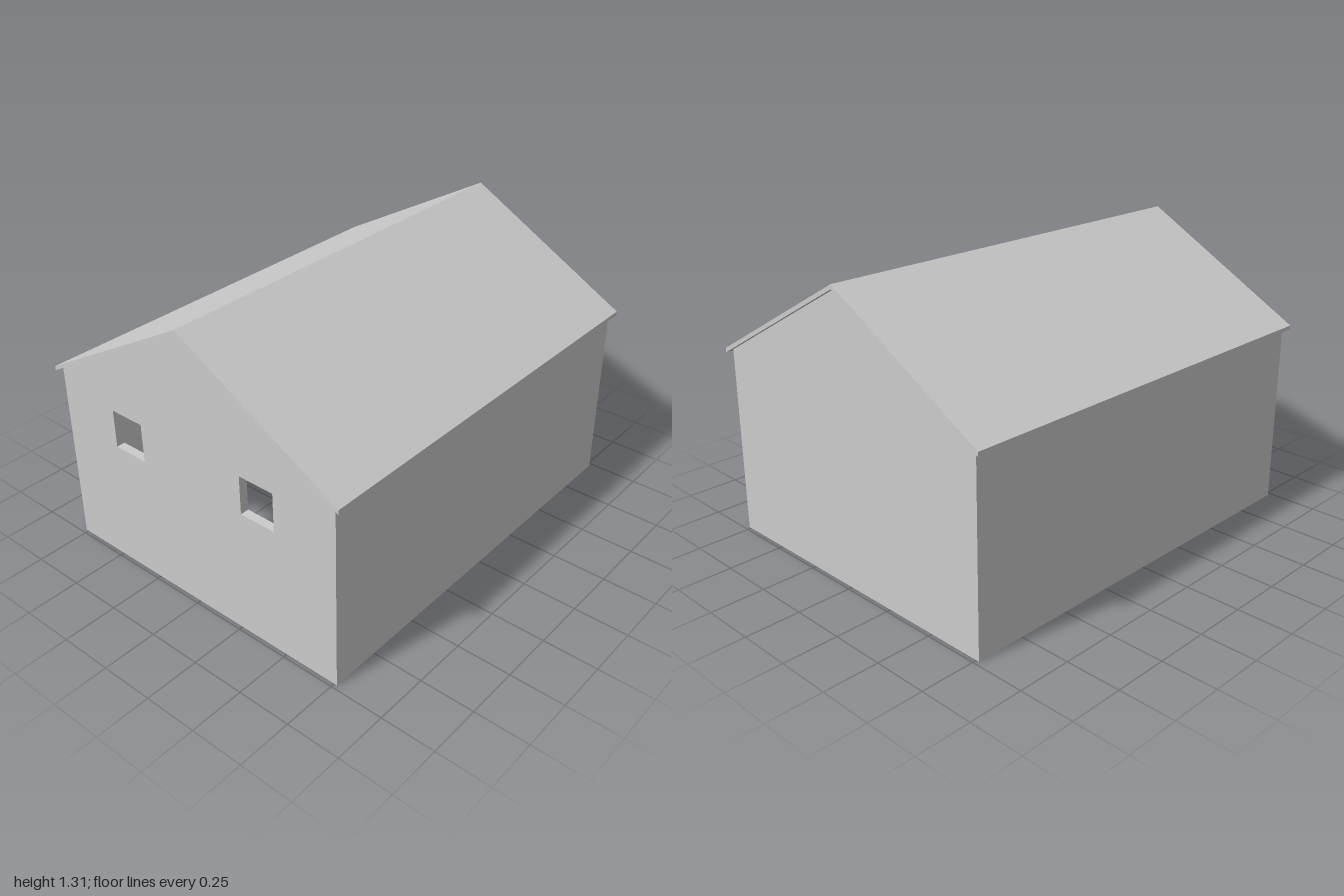
import * as THREE from 'three';

const WALL_X = 0.764, WALL_Z = 0.981;      // half width and half depth of the walls
const ROOF_X = 0.793, ROOF_Z = 1;          // half width and half depth of the roof
const RIDGE = 1.314, EAVE = 0.872, THICK = 0.02;
const WINDOW = { x: 0.367, y: 0.685, w: 0.174, h: 0.179, depth: 0.04 };

const SLOPE = (RIDGE - EAVE) / ROOF_X;
const PEAK = RIDGE - THICK;                // underside of the ridge
const WALL_TOP = PEAK - SLOPE * WALL_X;

const solid = new THREE.MeshStandardMaterial({ color: 0xcccccc });
const sheet = new THREE.MeshStandardMaterial({ color: 0xcccccc, side: THREE.DoubleSide });

const points = (list) => list.map(([x, y]) => new THREE.Vector2(x, y));

function add(parent, name, geometry, material, x = 0, y = 0, z = 0) {
  const mesh = new THREE.Mesh(geometry, material);
  mesh.name = name;
  mesh.position.set(x, y, z);
  parent.add(mesh);
  return mesh;
}

function gableShape() {
  return new THREE.Shape(points([
    [-WALL_X, 0], [WALL_X, 0], [WALL_X, WALL_TOP], [0, PEAK], [-WALL_X, WALL_TOP],
  ]));
}

export function createModel() {
  const house = new THREE.Group();
  house.name = 'house';

  // Gable walls, the front one with two window openings
  const { x: wx, y: wy, w, h, depth } = WINDOW;
  const front = gableShape();
  for (const side of [-1, 1]) {
    const cx = side * wx;
    front.holes.push(new THREE.Path(points([
      [cx - w / 2, wy - h / 2], [cx - w / 2, wy + h / 2],
      [cx + w / 2, wy + h / 2], [cx + w / 2, wy - h / 2],
    ])));
  }
  add(house, 'frontWall', new THREE.ShapeGeometry(front), sheet, 0, 0, WALL_Z);
  add(house, 'backWall', new THREE.ShapeGeometry(gableShape()), sheet, 0, 0, -WALL_Z)
    .rotation.y = Math.PI;

  for (const side of [-1, 1]) {
    const label = side > 0 ? 'left' : 'right';

    // Long side wall
    add(house, label + 'Wall', new THREE.PlaneGeometry(2 * WALL_Z, WALL_TOP), sheet,
      side * WALL_X, WALL_TOP / 2, 0).rotation.y = side * Math.PI / 2;

    // Thin window reveal reaching into the house
    const reveal = new THREE.Group();
    reveal.name = label + 'WindowReveal';
    reveal.position.set(side * wx, wy, WALL_Z - depth / 2);
    for (const s of [-1, 1]) {
      add(reveal, s > 0 ? 'leftJamb' : 'rightJamb', new THREE.PlaneGeometry(depth, h), sheet,
        s * w / 2, 0, 0).rotation.y = -s * Math.PI / 2;
      add(reveal, s > 0 ? 'lintel' : 'sill', new THREE.PlaneGeometry(w, depth), sheet,
        0, s * h / 2, 0).rotation.x = s * Math.PI / 2;
    }
    house.add(reveal);
  }

  // Gabled roof slab with vertically cut eaves
  const roof = new THREE.Shape(points([
    [-ROOF_X, EAVE - THICK], [0, PEAK], [ROOF_X, EAVE - THICK],
    [ROOF_X, EAVE], [0, RIDGE], [-ROOF_X, EAVE],
  ]));
  add(house, 'roof',
    new THREE.ExtrudeGeometry(roof, { depth: 2 * ROOF_Z, bevelEnabled: false }),
    solid, 0, 0, -ROOF_Z);

  return house;
}
